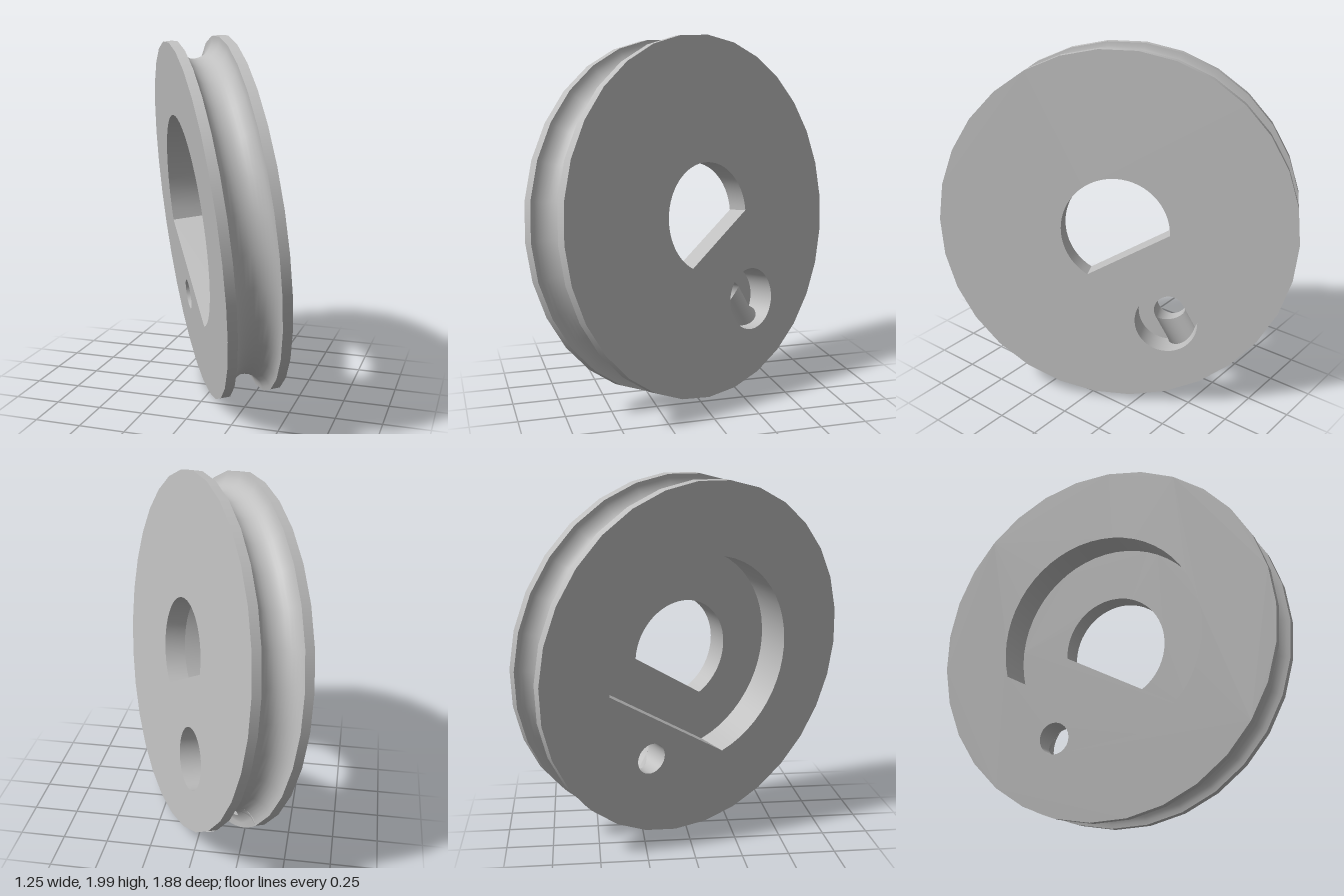
import * as THREE from 'three';

const R = 0.988, H = 0.16;            // wheel radius, half thickness
const GROOVE = 0.11;                  // rope groove radius
const BIG = 0.59, BIG_FLAT = 0.387;   // large D pocket
const SMALL = 0.3, SMALL_FLAT = 0.15; // small D bore
const STEP = 0.04;                    // pocket floor level
const BOLT = 0.59, RH = 0.087, RC = 0.175; // bolt hole position and radii
const SIDES = 30;

const v2 = (x, y) => new THREE.Vector2(x, y);
const grooveRadius = w => R - Math.sqrt(Math.max(0, GROOVE * GROOVE - w * w));

// points along an arc
function arc(r, a0, a1, n, cx = 0) {
  return Array.from({ length: n + 1 }, (_, i) => {
    const a = a0 + (a1 - a0) * i / n;
    return v2(cx + r * Math.cos(a), r * Math.sin(a));
  });
}
const ring = (r, n, cx = 0) => arc(r, 0, Math.PI * 2, n, cx).slice(0, n);
const dArc = (r, flat) => {
  const a = Math.acos(flat / r);
  return arc(r, a, Math.PI * 2 - a, 40);
};

// surface through rows of points of equal length
function loft(rows) {
  const n = rows[0].length, pos = [], idx = [];
  rows.forEach(row => row.forEach(p => pos.push(...p)));
  for (let j = 0; j < rows.length - 1; j++) {
    for (let i = 0; i < n - 1; i++) {
      const a = j * n + i, b = a + n;
      idx.push(a, a + 1, b, a + 1, b + 1, b);
    }
  }
  const g = new THREE.BufferGeometry();
  g.setAttribute('position', new THREE.Float32BufferAttribute(pos, 3));
  g.setIndex(idx);
  g.computeVertexNormals();
  return g;
}
const wall = (pts, z0, z1) => loft([pts.map(p => [p.x, p.y, z0]), pts.map(p => [p.x, p.y, z1])]);

// flat face with holes at level z
function plate(outline, holes, z) {
  const s = new THREE.Shape(outline);
  s.holes = holes.map(h => new THREE.Path(h));
  return new THREE.ShapeGeometry(s).translate(0, 0, z);
}

export function createModel() {
  const metal = new THREE.MeshStandardMaterial({ color: 0xbfbfbf, side: THREE.DoubleSide });
  metal.name = 'grey metal';
  const wheel = new THREE.Group();
  wheel.name = 'pulleyWheel';
  const add = (name, g) => {
    const m = new THREE.Mesh(g, metal);
    m.name = name;
    wheel.add(m);
  };
  const lathe = (pts, n, start, len) => new THREE.LatheGeometry(pts, n, start, len).rotateX(Math.PI / 2);

  // side faces and pocket floor
  const disc = ring(R, SIDES), big = dArc(BIG, BIG_FLAT), small = dArc(SMALL, SMALL_FLAT);
  add('backFace', plate(disc, [small, ring(RC, 40, BOLT)], H));
  const flip = g => { // turn a face towards the front
    const i = g.index.array;
    for (let k = 0; k < i.length; k += 3) [i[k], i[k + 1]] = [i[k + 1], i[k]];
    g.computeVertexNormals();
    return g;
  };
  add('frontFace', flip(plate(disc, [big, ring(RH, 32, BOLT)], -H)));
  add('pocketFloor', flip(plate(big, [small], STEP)));

  // D-shaped walls: curved part and flat part
  for (const [name, pts, z0, z1] of [['pocket', big, -H, STEP], ['bore', small, STEP, H]]) {
    add(name + 'Wall', wall(pts, z0, z1));
    add(name + 'Flat', wall([pts[pts.length - 1], pts[0]], z0, z1));
  }

  // rims
  for (const s of [-1, 1]) {
    const z = [s * GROOVE, s * H].sort((a, b) => a - b);
    add(s < 0 ? 'frontRim' : 'backRim', lathe(z.map(w => v2(R, w)), SIDES, Math.PI / 2, Math.PI * 2));
  }

  // rope groove, leaving two segments for the pierced patch
  const profile = arc(GROOVE, 0, Math.PI, 16).map(p => v2(R - p.y, -p.x));
  const gap = Math.PI * 2 / SIDES;
  add('ropeGroove', lathe(profile, SIDES - 2, Math.PI / 2 + gap, Math.PI * 2 - 2 * gap));

  // patch of the groove around the rope hole
  const mid = R - GROOVE, edge = gap * mid, border = [];
  const corners = [[edge, -GROOVE], [edge, GROOVE], [-edge, GROOVE], [-edge, -GROOVE]];
  corners.forEach((c, k) => {
    const d = corners[(k + 1) % 4];
    for (let i = 0; i < 12; i++) border.push(v2(c[0] + (d[0] - c[0]) * i / 12, c[1] + (d[1] - c[1]) * i / 12));
  });
  border.push(border[0].clone());
  const rows = [];
  for (let k = 0; k <= 8; k++) {
    rows.push(border.map(p => {
      const q = p.clone().setLength(RH).lerp(p, k / 8);
      const r = grooveRadius(q.y), a = q.x / mid;
      return [r * Math.cos(a), r * Math.sin(a), q.y];
    }));
  }
  add('groovePatch', loft(rows));

  // bolt hole and counterbore, both cut by the rope hole
  const turn = arc(1, 0, Math.PI * 2, 96);
  const bored = (r, z0, z1) => loft([z0, z1].map(f => turn.map(p => [BOLT + r * p.x, r * p.y, f(p)])));
  add('boltHole', bored(RH, () => -H, p => -RH * Math.max(0, p.x)));
  const lip = p => p.x > 0 ? Math.sqrt(Math.max(0, RH * RH - RC * RC * p.y * p.y)) : 0;
  add('counterbore', bored(RC, lip, () => H));
  const a = Math.asin(RH / RC);
  add('counterboreFloor', plate([
    ...arc(RC, a, Math.PI * 2 - a, 40, BOLT),
    ...arc(RH, Math.PI * 1.5, Math.PI * 0.5, 20, BOLT)], [], 0));

  // rope hole running out to the groove, as a lower and an upper half
  for (const s of [-1, 1]) {
    const half = arc(RH, 0, s * Math.PI, 24);
    const inner = half.map(p => [BOLT + (s < 0 ? -p.y : Math.sqrt(RC * RC - p.x * p.x)), p.x, p.y]);
    const outer = half.map(p => [Math.sqrt(grooveRadius(p.y) ** 2 - p.x * p.x), p.x, p.y]);
    add(s < 0 ? 'ropeHoleLower' : 'ropeHoleUpper', loft([inner, outer]));
  }

  // tilt: local z is the wheel axis, local x points to the bolt hole
  const n = new THREE.Vector3(0.87, 0.11, -0.48).normalize();
  const u = new THREE.Vector3(0, 1, 0).cross(n).normalize();
  const v = n.clone().cross(u);
  const x = u.multiplyScalar(0.5).addScaledVector(v, -Math.sqrt(0.75));
  const y = n.clone().cross(x);
  wheel.quaternion.setFromRotationMatrix(new THREE.Matrix4().makeBasis(x, y, n));
  wheel.position.y = 1;

  const model = new THREE.Group();
  model.name = 'pulley';
  model.add(wheel);
  return model;
}
